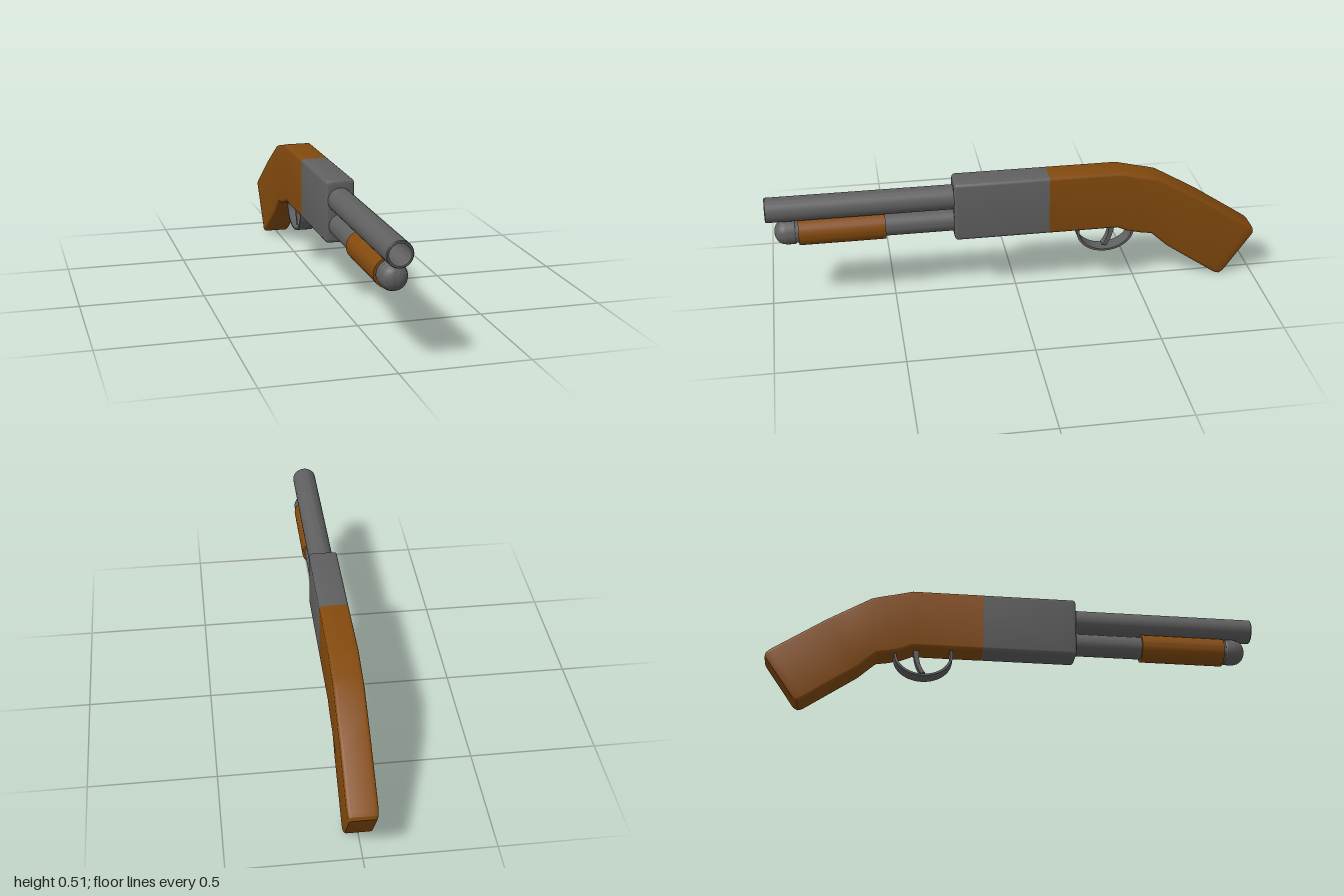
import * as THREE from 'three';
import { toCreasedNormals } from 'three/addons/utils/BufferGeometryUtils.js';

const metal = new THREE.MeshStandardMaterial({ name: 'gunmetal', color: 0x606060 });
const wood = new THREE.MeshStandardMaterial({ name: 'wood', color: 0x834a0e });

// Rounded-rectangle sections lofted from front to back.
// Each section: [topZ, topY, bottomZ, bottomY, halfWidth]
function loft(sections, radius = 0.013, steps = 4) {
  const pos = [], index = [];
  const n = 4 * (steps + 1);
  for (const [tz, ty, bz, by, hw] of sections) {
    const height = Math.hypot(tz - bz, ty - by);
    for (let c = 0; c < 4; c++) {
      const sx = c === 0 || c === 3 ? 1 : -1;
      const sy = c < 2 ? 1 : -1;
      for (let k = 0; k <= steps; k++) {
        const a = (c + k / steps) * Math.PI / 2;
        const x = sx * (hw - radius) + radius * Math.cos(a);
        const t = 0.5 + (sy * (height / 2 - radius) + radius * Math.sin(a)) / height;
        pos.push(x, by + (ty - by) * t, bz + (tz - bz) * t);
      }
    }
  }
  for (let i = 0; i < sections.length - 1; i++) {
    for (let j = 0; j < n; j++) {
      const a = i * n + j, b = i * n + (j + 1) % n;
      index.push(a, a + n, b, b, a + n, b + n);
    }
  }
  const last = (sections.length - 1) * n;
  for (let j = 1; j < n - 1; j++) {
    index.push(0, j, j + 1, last, last + j + 1, last + j);
  }
  const geo = new THREE.BufferGeometry();
  geo.setAttribute('position', new THREE.Float32BufferAttribute(pos, 3));
  geo.setIndex(index);
  return toCreasedNormals(geo, 0.5);
}

// Turned part along z; profile points are [radius, z]
function turned(profile, y) {
  const geo = new THREE.LatheGeometry(profile.map(([r, z]) => new THREE.Vector2(r, z)), 40);
  geo.rotateX(Math.PI / 2).translate(0, y, 0);
  return toCreasedNormals(geo, 0.5);
}

// Side outline drawn as (-z, y), extruded across x
function sidePlate(shape, width) {
  const geo = new THREE.ExtrudeGeometry(shape, { depth: width, bevelEnabled: false, curveSegments: 40 });
  geo.translate(0, 0, -width / 2).rotateY(Math.PI / 2);
  return toCreasedNormals(geo, 0.5);
}

export function createModel() {
  const model = new THREE.Group();
  model.name = 'shortShotgun';
  const add = (name, geo, mat) => {
    const mesh = new THREE.Mesh(geo, mat);
    mesh.name = name;
    model.add(mesh);
  };

  // Receiver with a rounded front edge
  const front = [];
  for (let i = 0; i <= 4; i++) {
    const a = i / 4 * Math.PI / 2, inset = 0.014 * (1 - Math.sin(a));
    const z = 0.241 + 0.014 * Math.cos(a);
    front.push([z, 0.512 - inset, z, 0.26 + inset, 0.058 - inset]);
  }
  add('receiver', loft([...front, [-0.13, 0.512, -0.13, 0.26, 0.058]], 0.0135), metal);

  // Stock bending down into the grip
  add('stock', loft([
    [-0.13, 0.512, -0.13, 0.26, 0.058],
    [-0.42, 0.512, -0.415, 0.26, 0.058],
    [-0.50, 0.492, -0.455, 0.242, 0.058],
    [-0.545, 0.482, -0.51, 0.228, 0.058],
    [-0.585, 0.471, -0.56, 0.22, 0.058],
    [-0.68, 0.415, -0.63, 0.155, 0.058],
    [-0.77, 0.361, -0.68, 0.12, 0.058],
    [-0.972, 0.225, -0.835, 0.012, 0.058],
    [-0.986, 0.215, -0.848, 0.004, 0.057],
    [-0.996, 0.205, -0.860, 0.001, 0.055],
    [-1.0, 0.190, -0.874, 0.008, 0.051],
  ]), wood);

  // Barrel with an open bore
  add('barrel', turned([[0.05, 0.2], [0.05, 0.997], [0.047, 1], [0.041, 1], [0.04, 0.997], [0.04, 0.3], [0, 0.3]], 0.432), metal);

  // Magazine tube, sliding fore-end and domed cap
  add('magazineTube', turned([[0.046, 0.2], [0.046, 0.9]], 0.33), metal);
  add('foreEnd', turned([[0.045, 0.53], [0.057, 0.53], [0.057, 0.875], [0.045, 0.875]], 0.329), wood);
  const cap = [[0.044, 0.885], [0.05, 0.885], [0.053, 0.89], [0.053, 0.925], [0.05, 0.93]];
  for (let i = 1; i <= 8; i++) {
    const a = i / 8 * Math.PI / 2;
    cap.push([0.05 * Math.cos(a), 0.93 + 0.039 * Math.sin(a)]);
  }
  add('magazineCap', turned(cap, 0.332), metal);

  // Trigger guard band; its upper half is sunk into the stock
  const ring = new THREE.Shape().absellipse(0.37, 0.24, 0.12, 0.095, 0, Math.PI * 2);
  ring.holes.push(new THREE.Path().absellipse(0.37, 0.24, 0.109, 0.087, 0, Math.PI * 2, true));
  add('triggerGuard', sidePlate(ring, 0.064), metal);

  // Curved trigger
  const blade = new THREE.Shape();
  blade.moveTo(0.385, 0.28);
  blade.quadraticCurveTo(0.395, 0.205, 0.36, 0.165);
  blade.lineTo(0.378, 0.162);
  blade.quadraticCurveTo(0.412, 0.21, 0.41, 0.28);
  blade.closePath();
  add('trigger', sidePlate(blade, 0.034), metal);

  return model;
}
